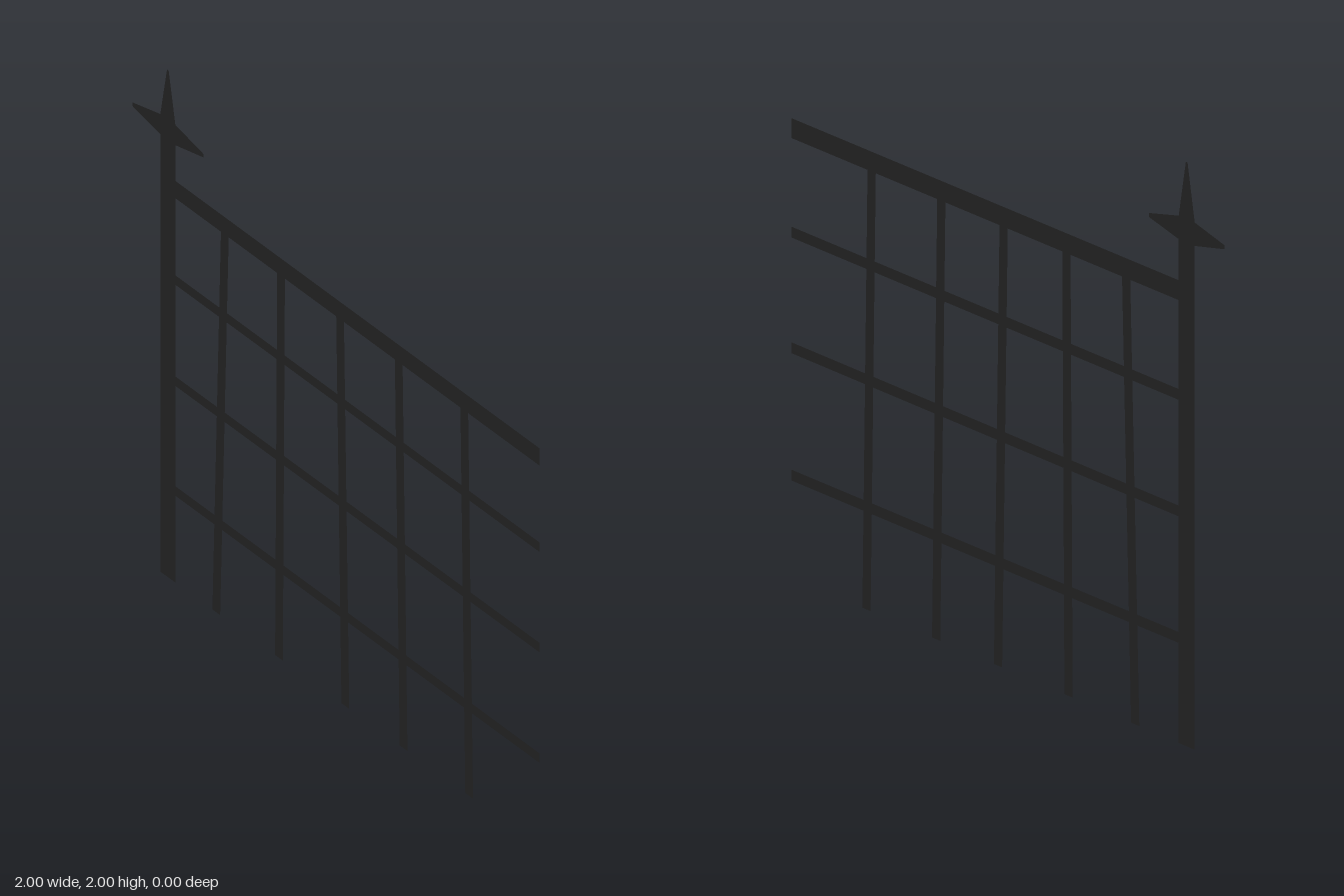
import * as THREE from 'three';

// Thin sheet-iron fence panel: every part is a flat outline in the z = 0 plane.
export function createModel() {
  const group = new THREE.Group();
  const iron = new THREE.MeshStandardMaterial({ color: 0x222222, side: THREE.DoubleSide });

  function sheet(name, points) {
    const shape = new THREE.Shape(points.map(([x, y]) => new THREE.Vector2(x, y)));
    const mesh = new THREE.Mesh(new THREE.ShapeGeometry(shape), iron);
    mesh.name = name;
    group.add(mesh);
  }

  // Corner post
  const postX = -0.826, half = 0.037, postTop = 1.725;
  sheet('post', [
    [postX - half, 0], [postX + half, 0], [postX + half, postTop], [postX - half, postTop],
  ]);

  // Four-pointed star finial, mirrored about the post
  const rightSide = [[0, 1.71], [half, postTop], [0.174, 1.757], [0.174, 1.771], [half, 1.805], [0.004, 2]];
  const leftSide = rightSide.slice(1).reverse().map(([x, y]) => [-x, y]);
  sheet('starFinial', [...rightSide, ...leftSide].map(([x, y]) => [postX + x, y]));

  // Horizontal rails, sloping slightly down: centre height at left, at right, thickness
  const railStart = postX + half, railEnd = 1;
  [
    ['topRail', 1.55, 1.538, 0.068],
    ['upperRail', 1.193, 1.182, 0.037],
    ['middleRail', 0.794, 0.786, 0.037],
    ['lowerRail', 0.361, 0.35, 0.037],
  ].forEach(([name, y0, y1, t]) => sheet(name, [
    [railStart, y0 - t / 2], [railEnd, y1 - t / 2], [railEnd, y1 + t / 2], [railStart, y0 + t / 2],
  ]));

  // Leaning vertical bars: centre at the bottom, centre at the top
  const w = 0.019, barTop = 1.52;
  [[-0.588, -0.546], [-0.28, -0.27], [0.046, 0.02], [0.332, 0.308], [0.654, 0.63]]
    .forEach(([xb, xt], i) => sheet(`bar${i + 1}`, [
      [xb - w, 0], [xb + w, 0], [xt + w, barTop], [xt - w, barTop],
    ]));

  return group;
}
